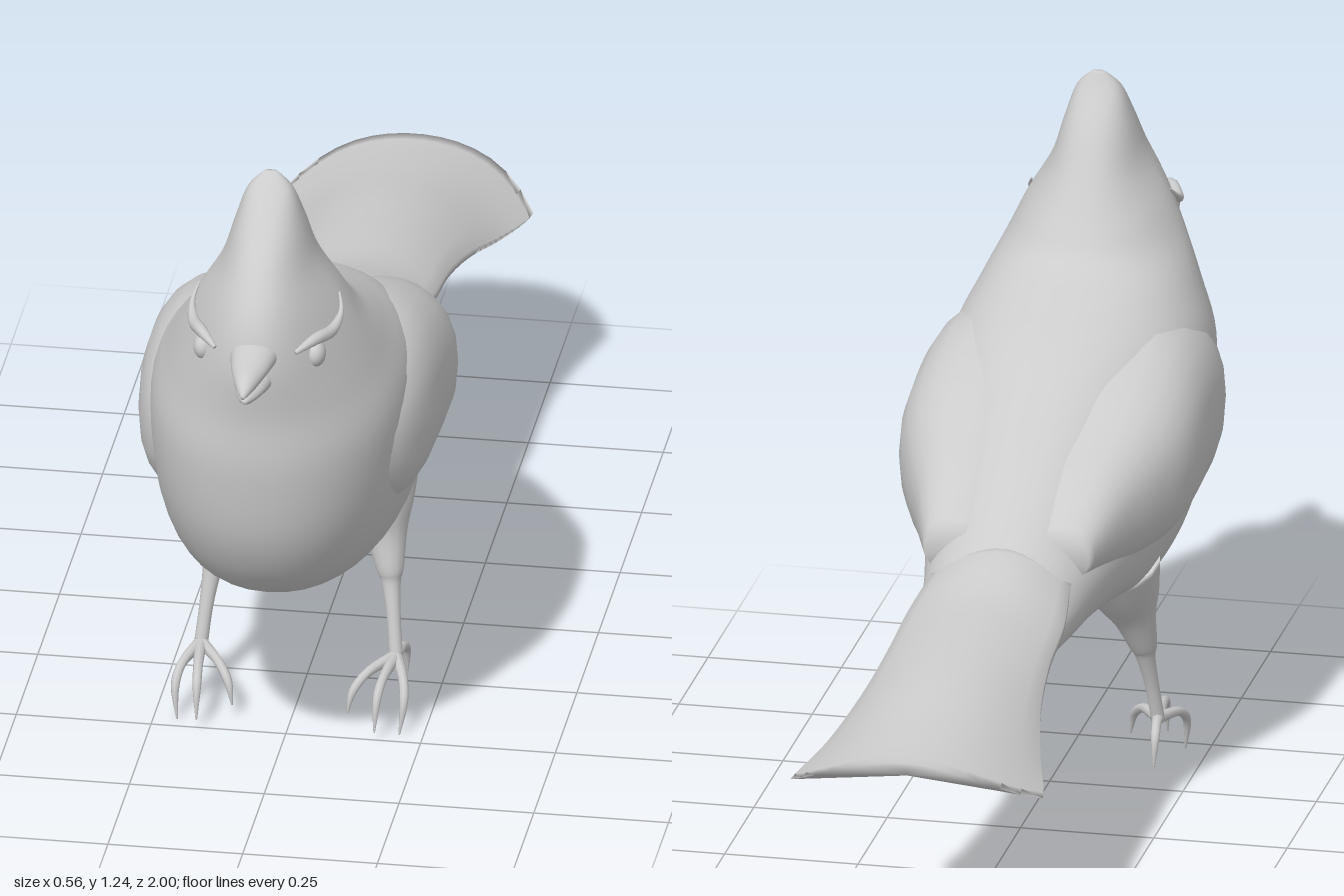
import * as THREE from 'three';

const V = (x, y, z) => new THREE.Vector3(x, y, z);
const material = new THREE.MeshStandardMaterial({ color: 0xcccccc, side: THREE.DoubleSide });

// Catmull-Rom resampling of a table of section parameters
function resample(rows, count) {
  const last = rows.length - 1;
  return Array.from({ length: count + 1 }, (_, k) => {
    const s = (k / count) * last;
    const i = Math.min(Math.floor(s), last - 1);
    const t = s - i;
    const [a, b, c, d] = [rows[Math.max(i - 1, 0)], rows[i], rows[i + 1], rows[Math.min(i + 2, last)]];
    return b.map((q, n) => q + 0.5 * t * (c[n] - a[n]
      + t * (2 * a[n] - 5 * q + 4 * c[n] - d[n] + t * (3 * (q - c[n]) + d[n] - a[n]))));
  });
}

// Skin closed rings of points; both ends are drawn together, faces turned outward
function loft(name, rings) {
  const middle = (r) => r.reduce((sum, p) => sum.add(p), V(0, 0, 0)).divideScalar(r.length);
  const cap = (r) => { const m = middle(r); return r.map(() => m); };
  const all = [cap(rings[0]), ...rings, cap(rings[rings.length - 1])];
  const n = rings[0].length;
  const points = all.flat();
  const index = [];
  let volume = 0;
  const face = (a, b, c) => {
    index.push(a, b, c);
    volume += points[a].dot(points[b].clone().cross(points[c]));
  };
  for (let i = 0; i < all.length - 1; i++) {
    for (let j = 0; j < n; j++) {
      const a = i * n + j, b = i * n + (j + 1) % n;
      face(a, b, a + n);
      face(b, b + n, a + n);
    }
  }
  if (volume < 0) index.reverse();
  const geometry = new THREE.BufferGeometry().setFromPoints(points);
  geometry.setIndex(index);
  geometry.computeVertexNormals();
  const mesh = new THREE.Mesh(geometry, material);
  mesh.name = name;
  return mesh;
}

const ring = (n, f) => Array.from({ length: n }, (_, j) => f((j / n) * Math.PI * 2));
const soft = (v, e) => Math.sign(v) * Math.abs(v) ** e;

// Tapering limb through rows of [x, y, z, radius]
function limb(name, rows, steps, sides = 10) {
  const path = resample(rows, steps);
  const at = (i) => V(...path[Math.max(0, Math.min(steps, i))].slice(0, 3));
  return loft(name, path.map((p, i) => {
    const dir = at(i + 1).sub(at(i - 1)).normalize();
    const u = V(1, 0, 0).addScaledVector(dir, -dir.x).normalize();
    const v = dir.clone().cross(u);
    return ring(sides, (t) => at(i).addScaledVector(u, p[3] * Math.cos(t)).addScaledVector(v, p[3] * Math.sin(t)));
  }));
}

// Oval sections along z: [z, top, bottom, half width, centre x]
const ovals = (name, rows, steps, power = 1) => loft(name, resample(rows, steps).map(([z, top, bottom, w, x]) =>
  ring(24, (t) => V(x + w * soft(Math.cos(t), power),
    (top + bottom) / 2 + ((top - bottom) / 2) * soft(Math.sin(t), power), z))));

// Head and body: slanted sections [front z, front y, back z, back y, half width, front pinch]
function createBody() {
  const rows = [
    [0.675, 1.238, 0.665, 1.238, 0.012, 0],
    [0.705, 1.21, 0.645, 1.205, 0.042, 0],
    [0.76, 1.155, 0.595, 1.14, 0.064, 0.05],
    [0.82, 1.09, 0.545, 1.06, 0.088, 0.15],
    [0.868, 1.015, 0.495, 0.985, 0.132, 0.28],
    [0.888, 0.93, 0.45, 0.935, 0.165, 0.28],
    [0.878, 0.82, 0.36, 0.895, 0.2, 0.12],
    [0.875, 0.7, 0.24, 0.845, 0.235, 0.03],
    [0.84, 0.54, 0.12, 0.78, 0.24, 0],
    [0.745, 0.415, 0.03, 0.73, 0.235, 0],
    [0.58, 0.355, -0.05, 0.68, 0.225, 0],
    [0.4, 0.33, -0.12, 0.635, 0.2, 0],
    [0.2, 0.37, -0.18, 0.6, 0.175, 0],
    [0.03, 0.395, -0.25, 0.577, 0.155, 0],
    [-0.15, 0.412, -0.33, 0.563, 0.145, 0],
    [-0.4, 0.435, -0.45, 0.55, 0.13, 0],
    [-0.62, 0.43, -0.62, 0.52, 0.09, 0],
    [-0.76, 0.445, -0.76, 0.5, 0.03, 0],
  ];
  return loft('body', resample(rows, 85).map(([fz, fy, bz, by, w, pinch]) => ring(48, (t) => {
    const c = soft(Math.cos(t), 0.92);
    return V(w * soft(Math.sin(t), 0.92) * (1 - pinch * Math.max(c, 0)),
      (fy + by) / 2 + c * (fy - by) / 2, (fz + bz) / 2 + c * (fz - bz) / 2);
  })));
}

// Tail: thin arched fan with a rounded end
function createTail() {
  const rows = [ // half width, centre y, edge drop
    [0.13, 0.61, 0.06], [0.147, 0.57, 0.05], [0.152, 0.553, 0.055],
    [0.168, 0.535, 0.07], [0.2, 0.51, 0.085], [0.237, 0.492, 0.09],
  ];
  const n = 16;
  return loft('tail', resample(rows, 30).map(([w, y, drop], i) => {
    const v = i / 30;
    const sheet = (u, side) => V(u * w, y - drop * u * u - (side ? 0.014 * (1 - v ** 4) : 0),
      -0.15 - v * (0.85 - 0.11 * Math.abs(u) ** 4));
    return Array.from({ length: 2 * n }, (_, j) => (j < n
      ? sheet(-1 + (2 * j) / (n - 1), 0) : sheet(1 - (2 * (j - n)) / (n - 1), 1)));
  }));
}

// Wing, eye, brow and leg of the +x side
function createSide(name) {
  const side = new THREE.Group();
  side.name = name;
  side.add(ovals('wing', [
    [0.72, 0.72, 0.64, 0.05, 0.13], [0.63, 0.79, 0.54, 0.115, 0.125],
    [0.52, 0.84, 0.495, 0.145, 0.125], [0.38, 0.85, 0.485, 0.155, 0.123],
    [0.22, 0.805, 0.485, 0.155, 0.12], [0.1, 0.75, 0.495, 0.125, 0.115],
    [0, 0.7, 0.515, 0.09, 0.11], [-0.12, 0.62, 0.54, 0.055, 0.1],
  ], 32, 0.85));

  const eye = new THREE.Mesh(new THREE.SphereGeometry(0.025, 20, 14), material);
  eye.name = 'eye';
  eye.scale.x = 0.75;
  eye.position.set(0.104, 0.937, 0.802);
  side.add(eye);
  side.add(limb('brow', [
    [0.075, 0.962, 0.855, 0.004], [0.105, 0.972, 0.815, 0.011],
    [0.128, 0.968, 0.765, 0.011], [0.138, 0.985, 0.72, 0.005], [0.13, 1.01, 0.69, 0.002],
  ], 16));

  side.add(limb('leg', [
    [0.125, 0.44, 0.25, 0.085], [0.14, 0.37, 0.275, 0.062], [0.152, 0.32, 0.29, 0.04],
    [0.163, 0.26, 0.31, 0.026], [0.166, 0.235, 0.316, 0.018],
    [0.174, 0.17, 0.335, 0.013], [0.181, 0.1, 0.352, 0.013],
  ], 24, 14));
  const toes = [
    [[0.172, 0.102, 0.44], [0.167, 0.08, 0.488], [0.165, 0.02, 0.507]],
    [[0.204, 0.093, 0.42], [0.212, 0.062, 0.458], [0.206, 0.002, 0.472]],
    [[0.142, 0.098, 0.41], [0.116, 0.072, 0.445], [0.107, 0.03, 0.455]],
    [[0.186, 0.104, 0.315], [0.19, 0.085, 0.285], [0.19, 0.035, 0.275]],
  ];
  toes.forEach(([knuckle, bend, claw]) => side.add(limb('toe', [
    [0.181, 0.103, 0.352, 0.012], [...knuckle, 0.009], [...bend, 0.008], [...claw, 0.0015],
  ], 15, 8)));
  return side;
}

export function createModel() {
  const bird = new THREE.Group();
  bird.name = 'crestedBird';
  bird.add(createBody(), createTail());
  bird.add(ovals('upperBeak', [
    [0.86, 0.988, 0.925, 0.045, 0], [0.92, 0.974, 0.931, 0.034, 0],
    [0.97, 0.962, 0.929, 0.019, 0], [1, 0.94, 0.93, 0.004, 0],
  ], 12));
  bird.add(ovals('lowerBeak', [
    [0.86, 0.935, 0.883, 0.038, 0], [0.92, 0.927, 0.896, 0.027, 0],
    [0.96, 0.923, 0.903, 0.014, 0], [0.98, 0.919, 0.911, 0.004, 0],
  ], 10));
  const left = createSide('leftSide');
  const right = createSide('rightSide');
  right.scale.x = -1;
  bird.add(left, right);
  return bird;
}
